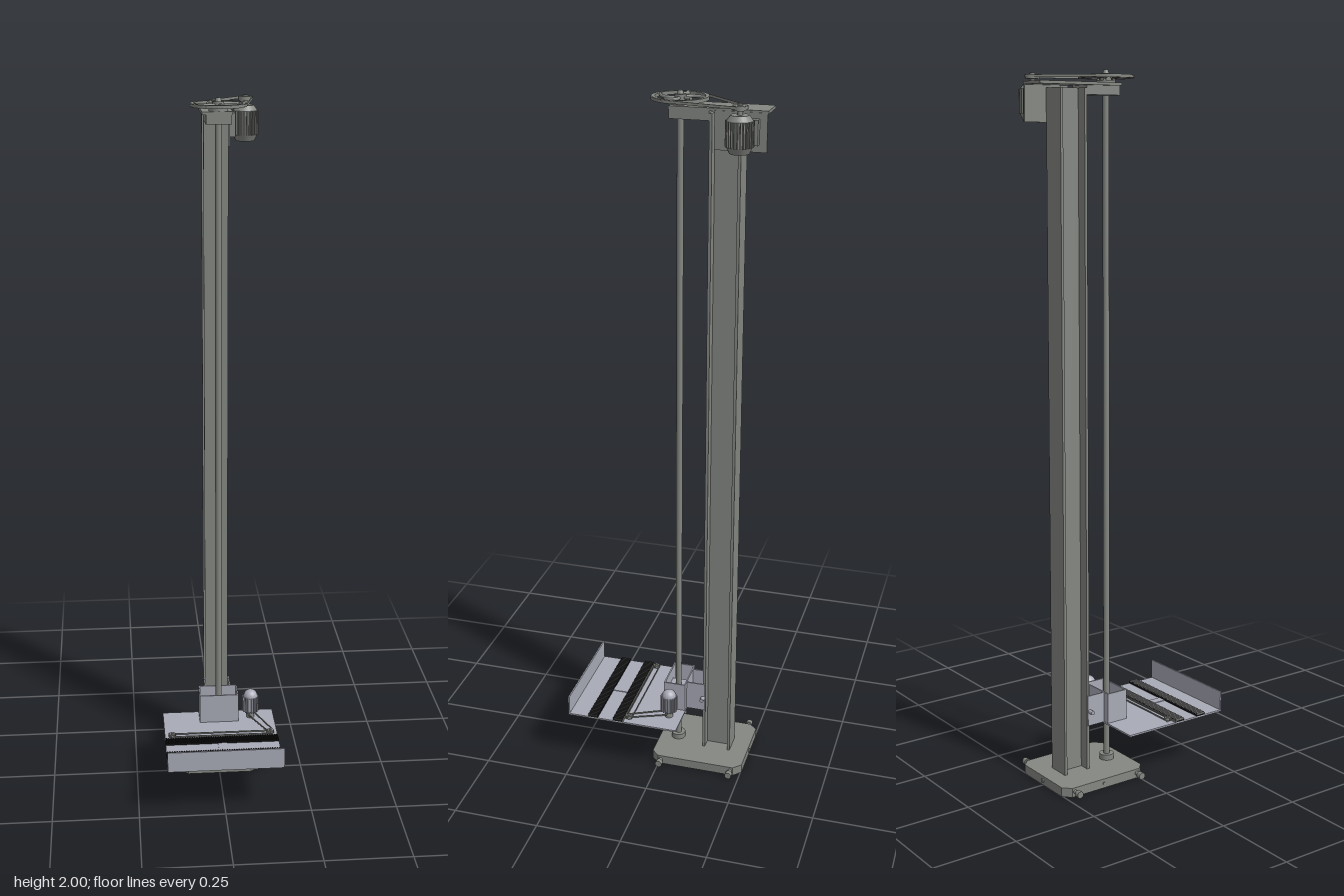
import * as THREE from 'three';

const mat = (name, color, extra = {}) => {
  const m = new THREE.MeshStandardMaterial({ color, ...extra });
  m.name = name;
  return m;
};

export function createModel() {
  const steel = mat('steel grey', 0x848782);
  const panel = mat('pale panel', 0xa8aab6);
  const black = mat('black', 0x101010);
  const model = new THREE.Group();
  model.name = 'screwLift';

  const add = (name, geo, material) => {
    const m = new THREE.Mesh(geo, material);
    m.name = name;
    model.add(m);
    return m;
  };
  // Box given by its limits on each axis
  const box = (name, x0, x1, y0, y1, z0, z1, material) =>
    add(name, new THREE.BoxGeometry(x1 - x0, y1 - y0, z1 - z0)
      .translate((x0 + x1) / 2, (y0 + y1) / 2, (z0 + z1) / 2), material);
  // Upright cylinder between two heights
  const post = (name, x, z, r, y0, y1, material, rTop = r) =>
    add(name, new THREE.CylinderGeometry(rTop, r, y1 - y0, 24)
      .translate(x, (y0 + y1) / 2, z), material);
  // Cylinder lying along x or z
  const pin = (name, axis, a, b, r, y, other, material) => {
    const g = new THREE.CylinderGeometry(r, r, b - a, 16);
    if (axis === 'x') g.rotateZ(Math.PI / 2).translate((a + b) / 2, y, other);
    else g.rotateX(Math.PI / 2).translate(other, y, (a + b) / 2);
    return add(name, g, material);
  };
  // Flat plan shape (x, z) raised between two heights
  const plan = (name, shape, y0, y1, material) =>
    add(name, new THREE.ExtrudeGeometry(shape, { depth: y1 - y0, bevelEnabled: false, curveSegments: 24 })
      .rotateX(Math.PI / 2).translate(0, y1, 0), material);
  const polar = (x, z, r, a) => new THREE.Vector2(x + r * Math.cos(a), z + r * Math.sin(a));
  const gear = (x, z, r, tooth, n) => {
    const pts = [];
    for (let i = 0; i < n; i++)
      [[0, r], [0.6, r], [0.65, r + tooth], [0.95, r + tooth]].forEach(([f, rad]) =>
        pts.push(polar(x, z, rad, ((i + f) / n) * Math.PI * 2)));
    return new THREE.Shape(pts);
  };
  // Loop wrapped round two wheels
  const loopPoints = (x1, z1, r1, x2, z2, r2) => {
    const a = Math.atan2(z2 - z1, x2 - x1);
    const phi = Math.acos((r1 - r2) / Math.hypot(x2 - x1, z2 - z1));
    const pts = [];
    for (let i = 0; i <= 20; i++) pts.push(polar(x1, z1, r1, a + phi + (i / 20) * (2 * Math.PI - 2 * phi)));
    for (let i = 0; i <= 20; i++) pts.push(polar(x2, z2, r2, a - phi + (i / 20) * 2 * phi));
    return pts;
  };
  const belt = (name, x1, z1, r1, x2, z2, r2, t, y0, y1) => {
    const s = new THREE.Shape(loopPoints(x1, z1, r1, x2, z2, r2));
    s.holes.push(new THREE.Path(loopPoints(x1, z1, r1 - t, x2, z2, r2 - t)));
    plan(name, s, y0, y1, steel);
  };

  // Base slab with cut corners, levelling bolts and small plugs
  const c = 0.022;
  plan('base', new THREE.Shape([
    [-0.118 + c, -0.253], [0.118 - c, -0.253], [0.118, -0.253 + c], [0.118, 0.024 - c],
    [0.118 - c, 0.024], [-0.118 + c, 0.024], [-0.118, 0.024 - c], [-0.118, -0.253 + c],
  ].map(p => new THREE.Vector2(...p))), 0.003, 0.03, steel);
  for (const s of [-1, 1]) {
    for (const z of [-0.222, -0.007]) {
      const mid = s * 0.124, head = s * 0.138;
      pin('boltShank', 'x', mid - 0.008, mid + 0.008, 0.006, 0.018, z, steel);
      pin('boltHead', 'x', head - 0.007, head + 0.007, 0.01, 0.018, z, steel);
    }
  }
  pin('sidePlug', 'x', -0.121, -0.11, 0.004, 0.017, -0.123, steel);
  pin('frontPlug', 'z', 0.015, 0.028, 0.006, 0.017, 0, steel);
  pin('backPlug', 'z', -0.257, -0.245, 0.006, 0.017, 0, steel);

  // Column: rolled I-section
  box('columnFrontFlange', -0.034, 0.034, 0.03, 1.95, -0.123, -0.115, steel);
  box('columnBackFlange', -0.034, 0.034, 0.03, 1.95, -0.2, -0.192, steel);
  box('columnWeb', -0.004, 0.004, 0.03, 1.95, -0.192, -0.123, steel);

  // Head arm and motor mounting plate
  box('headPlate', -0.045, 0.037, 1.957, 1.965, -0.27, -0.008, steel);
  box('headArm', -0.034, 0.034, 1.932, 1.957, -0.115, -0.008, steel);
  box('motorPlate', 0.034, 0.039, 1.86, 1.96, -0.268, -0.13, steel);
  box('motorFoot', 0.039, 0.058, 1.88, 1.945, -0.248, -0.17, steel);

  // Lead screw with its bearings
  const sz = -0.03;
  post('leadScrew', 0, sz, 0.009, 0.03, 1.99, steel);
  post('lowerBearing', 0, sz, 0.021, 0.03, 0.046, steel);
  post('upperBearing', 0, sz, 0.026, 1.965, 1.972, steel);
  for (let i = 0; i < 4; i++) {
    const p = polar(0, sz, 0.021, Math.PI / 4 + i * Math.PI / 2);
    post('bearingBolt', p.x, p.y, 0.004, 1.972, 1.976, steel);
  }

  // Large driven wheel with five curved spokes
  const rim = new THREE.Shape().absarc(0, sz, 0.075, 0, Math.PI * 2);
  rim.holes.push(new THREE.Path().absarc(0, sz, 0.065, 0, Math.PI * 2));
  plan('wheelRim', rim, 1.977, 1.986, steel);
  post('wheelHub', 0, sz, 0.015, 1.972, 1.99, steel);
  post('wheelCap', 0, sz, 0.009, 1.99, 2.0, steel, 0.006);
  for (let i = 0; i < 5; i++) {
    const path = [[0.012, 0], [0.032, 0.12], [0.048, 0.4], [0.068, 0.72]].map(([r, a]) => {
      const p = polar(0, sz, r, a + i * Math.PI * 0.4);
      return new THREE.Vector3(p.x, 1.981, p.y);
    });
    add('wheelSpoke', new THREE.TubeGeometry(new THREE.CatmullRomCurve3(path), 16, 0.0045, 8), steel);
  }

  // Drive motor, its pulley and belt
  const mx = 0.088, mz = -0.208;
  plan('motorBody', gear(mx, mz, 0.032, 0.005, 28), 1.883, 1.948, steel);
  post('motorBottom', mx, mz, 0.026, 1.866, 1.883, steel, 0.034);
  post('motorTop', mx, mz, 0.034, 1.948, 1.962, steel, 0.024);
  post('motorShaft', mx, mz, 0.007, 1.96, 1.99, steel);
  post('motorPulley', mx, mz, 0.019, 1.974, 1.986, steel);
  belt('driveBelt', 0, sz, 0.077, mx, mz, 0.021, 0.003, 1.978, 1.985);

  // Carriage: open box round the screw, narrow box reaching the column
  const cy0 = 0.163, cy1 = 0.253;
  box('carriageFront', -0.058, 0.058, cy0, cy1, -0.004, 0, panel);
  box('carriageBack', -0.058, 0.058, cy0, cy1, -0.066, -0.062, panel);
  box('screwNut', -0.03, 0.03, 0.18, 0.215, -0.058, -0.004, panel);
  for (const s of [-1, 1]) {
    const x = s * 0.056, xr = s * 0.037, xa = s * 0.046;
    box('carriageSide', x - 0.002, x + 0.002, cy0, cy1, -0.062, -0.004, panel);
    box('guideArm', xr - 0.002, xr + 0.002, cy0, cy1, -0.122, -0.066, panel);
    pin('guideAxle', 'x', xa - 0.009, xa + 0.009, 0.006, 0.206, -0.116, panel);
  }

  // Platform tray with raised front lip
  box('platform', -0.167, 0.167, 0.159, 0.164, -0.067, 0.265, panel);
  box('frontLip', -0.167, 0.167, 0.159, 0.221, 0.263, 0.267, panel);
  box('centreStrip', -0.013, 0.013, 0.164, 0.166, 0.127, 0.175, panel);

  // Ribbed conveyor strips
  const ribs = new THREE.Shape();
  ribs.moveTo(-0.167, 0.164);
  ribs.lineTo(0.167, 0.164);
  const n = 48;
  for (let i = n; i >= 0; i--) {
    const x = -0.167 + (0.334 * i) / n;
    ribs.lineTo(x, 0.168);
    if (i > 0) ribs.lineTo(x - 0.167 / n, 0.173);
  }
  for (const z of [0.098, 0.175])
    add('conveyorStrip', new THREE.ExtrudeGeometry(ribs, { depth: 0.029, bevelEnabled: false })
      .translate(0, 0, z), black);
  box('chainGuide', -0.17, 0.17, 0.164, 0.169, 0.0955, 0.098, steel);

  // Conveyor sprockets and chains
  for (const s of [-1, 1]) {
    plan('sprocket', gear(s * 0.146, 0.083, 0.0085, 0.0025, 12), 0.169, 0.177, steel);
    post('sprocketPin', s * 0.146, 0.083, 0.004, 0.164, 0.18, steel);
  }
  belt('conveyorChain', -0.146, 0.083, 0.0095, 0.146, 0.083, 0.0095, 0.002, 0.169, 0.173);
  belt('motorChain', 0.097, -0.027, 0.013, 0.146, 0.083, 0.0095, 0.002, 0.174, 0.178);

  // Small domed conveyor motor
  const px = 0.097, pz = -0.027;
  post('conveyorShaft', px, pz, 0.012, 0.164, 0.186, steel);
  plan('conveyorMotorBody', gear(px, pz, 0.021, 0.004, 24), 0.186, 0.234, panel);
  add('conveyorMotorDome', new THREE.SphereGeometry(0.021, 24, 10, 0, Math.PI * 2, 0, Math.PI / 2)
    .translate(px, 0.234, pz), panel);

  return model;
}
